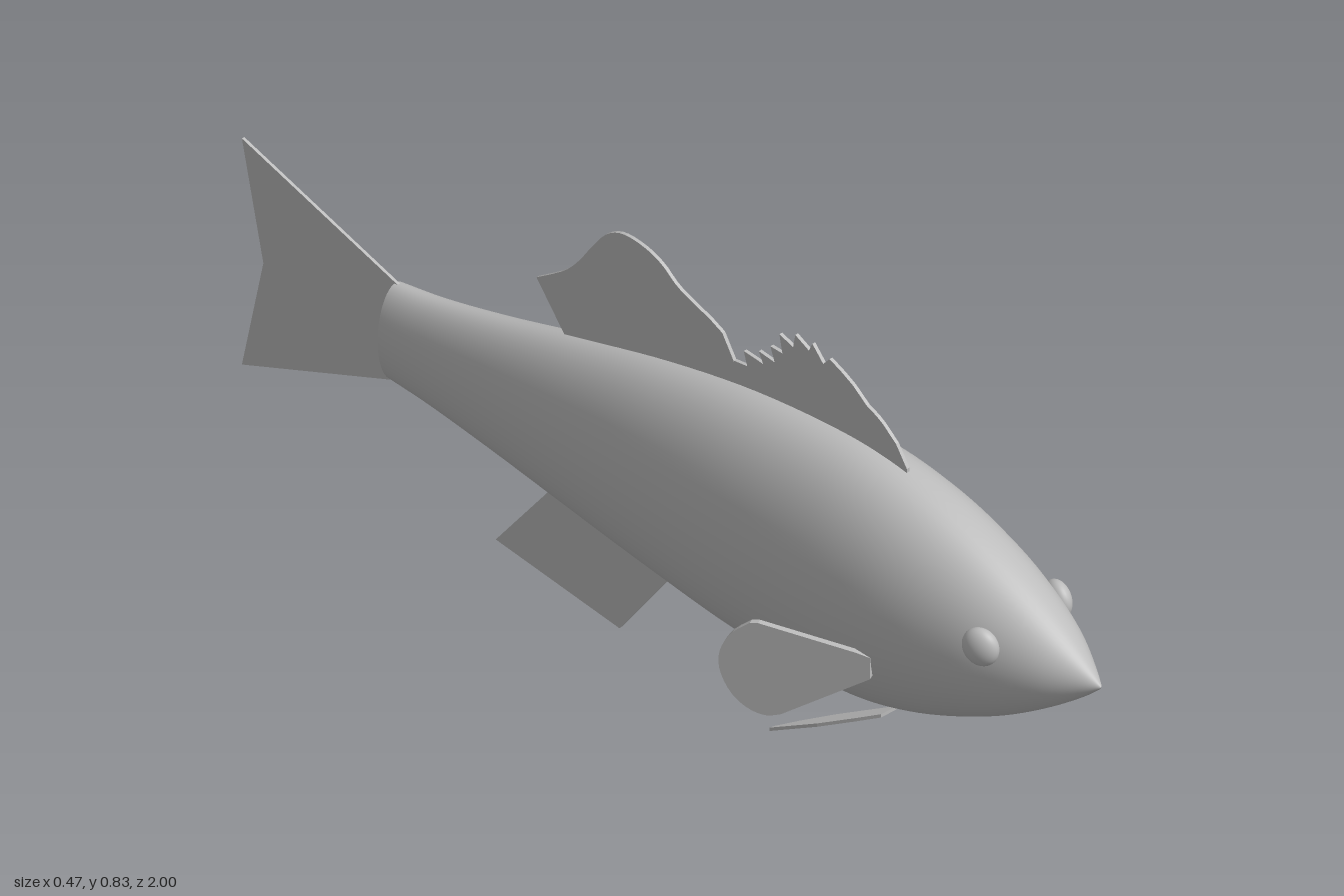
import * as THREE from 'three';

const skin = new THREE.MeshStandardMaterial({ color: 0xbcbcbc });
skin.name = 'plain grey';

function addMesh(group, geometry, name) {
  const mesh = new THREE.Mesh(geometry, skin);
  mesh.name = name;
  group.add(mesh);
  return mesh;
}

// Thin plate from a list of [x, y] points, centred on its thickness
function plate(points, thickness) {
  const shape = new THREE.Shape(points.map(([x, y]) => new THREE.Vector2(x, y)));
  return new THREE.ExtrudeGeometry(shape, { depth: thickness, bevelEnabled: false })
    .translate(0, 0, -thickness / 2);
}

// Plate standing in the middle plane, points given as [z, y]
const medianFin = (points, thickness) => plate(points, thickness).rotateY(-Math.PI / 2);

// Smooth run of points through a few control points
const smooth = (points, count) =>
  new THREE.SplineCurve(points.map(([x, y]) => new THREE.Vector2(x, y)))
    .getPoints(count).map(p => [p.x, p.y]);

// Body: elliptical sections [z, top, bottom, half width] blended along the length
function bodyGeometry() {
  const stations = [
    [1, 0.405, 0.401, 0.002], [0.97, 0.432, 0.374, 0.024], [0.9, 0.487, 0.322, 0.066],
    [0.8, 0.549, 0.26, 0.102], [0.7, 0.596, 0.212, 0.123], [0.6, 0.63, 0.175, 0.135],
    [0.5, 0.651, 0.151, 0.139], [0.4, 0.658, 0.143, 0.138], [0.2, 0.648, 0.152, 0.128],
    [0, 0.616, 0.179, 0.109], [-0.2, 0.569, 0.211, 0.086], [-0.4, 0.519, 0.245, 0.064],
    [-0.55, 0.488, 0.268, 0.051], [-0.645, 0.476, 0.278, 0.045],
  ];
  const heights = new THREE.CatmullRomCurve3(stations.map(s => new THREE.Vector3(s[0], s[1], s[2])));
  const widths = new THREE.CatmullRomCurve3(stations.map(s => new THREE.Vector3(s[0], s[3], 0)));
  const rings = 65, sides = 48, positions = [], index = [];
  for (let i = 0; i <= rings; i++) {
    const h = heights.getPoint(i / rings), w = widths.getPoint(i / rings).y;
    for (let j = 0; j < sides; j++) {
      const a = (j / sides) * Math.PI * 2;
      positions.push(Math.cos(a) * w, (h.y + h.z) / 2 + Math.sin(a) * (h.y - h.z) / 2, h.x);
    }
  }
  for (let i = 0; i < rings; i++) {
    for (let j = 0; j < sides; j++) {
      const a = i * sides + j, b = i * sides + (j + 1) % sides;
      index.push(a, a + sides, b, b, a + sides, b + sides);
    }
  }
  const geometry = new THREE.BufferGeometry();
  geometry.setAttribute('position', new THREE.Float32BufferAttribute(positions, 3));
  geometry.setIndex(index);
  geometry.computeVertexNormals();
  return geometry;
}

export function createModel() {
  const model = new THREE.Group();
  model.name = 'fish';

  addMesh(model, bodyGeometry(), 'body');

  // Flat end of the body where the tail fin joins
  const cap = addMesh(model, new THREE.CircleGeometry(1, 48), 'tailStump');
  cap.scale.set(0.045, 0.099, 1);
  cap.rotation.y = Math.PI;
  cap.position.set(0, 0.377, -0.645);

  // Spiny front dorsal fin
  addMesh(model, medianFin([
    [0.55, 0.62], [0.55, 0.65], [0.525, 0.69], [0.495, 0.717], [0.48, 0.727], [0.457, 0.738],
    [0.425, 0.765], [0.4, 0.78], [0.37, 0.795], [0.355, 0.778], [0.33, 0.808], [0.322, 0.79],
    [0.29, 0.808], [0.285, 0.78], [0.253, 0.792], [0.26, 0.755], [0.232, 0.757],
    [0.242, 0.728], [0.205, 0.734], [0.215, 0.712], [0.17, 0.718], [0.178, 0.69],
    [0.147, 0.687], [0.165, 0.62],
  ], 0.007), 'frontDorsalFin');

  // Soft rear dorsal fin with a rounded crest
  addMesh(model, medianFin([
    [0.18, 0.62], [0.18, 0.648], [0.147, 0.685], [0.12, 0.732],
    ...smooth([[0.09, 0.748], [0.02, 0.777], [-0.02, 0.808], [-0.06, 0.825], [-0.11, 0.83],
      [-0.148, 0.813], [-0.18, 0.775], [-0.215, 0.725], [-0.25, 0.688], [-0.313, 0.645]], 30),
    [-0.245, 0.552], [-0.2, 0.53],
  ], 0.007), 'rearDorsalFin');

  // Forked tail fin and slanted fin underneath
  addMesh(model, medianFin([
    [-0.635, 0.476], [-1, 0.612], [-0.95, 0.375], [-1, 0.14], [-0.635, 0.278],
  ], 0.006), 'tailFin');
  addMesh(model, medianFin([
    [0.01, 0.2], [0.01, 0.18], [-0.12, 0.003], [-0.408, 0.053], [-0.27, 0.23], [-0.2, 0.25],
  ], 0.007), 'analFin');

  // Paired parts: x sign +1 is the left side
  for (const side of [1, -1]) {
    const label = side > 0 ? 'left' : 'right';

    const eye = addMesh(model, new THREE.SphereGeometry(1, 28, 20), label + 'Eye');
    eye.scale.set(0.022, 0.037, 0.035);
    eye.position.set(side * 0.097, 0.448, 0.808);
    eye.rotation.y = -side * 0.25;

    // Upright side paddle, swept out and back
    const pectoral = addMesh(model, plate([
      [-0.005, 0.335], [-0.005, 0.291], [0.145, 0.188],
      ...smooth([[0.158, 0.179], [0.187, 0.17], [0.22, 0.178], [0.25, 0.203], [0.27, 0.245],
        [0.27, 0.285], [0.25, 0.325], [0.215, 0.356]], 24),
      [0.2, 0.359], [0.02, 0.34],
    ], 0.011), label + 'PectoralFin');
    const sweep = 1.181;
    pectoral.rotation.y = side > 0 ? sweep : Math.PI - sweep;
    pectoral.position.set(side * 0.128, 0, 0.575);

    // Belly blade: flat plate sheared so it slopes down to the rear
    const blade = plate([
      [0.018, 0.54], [0.052, 0.535], [0.068, 0.49], [0.09, 0.42],
      [0.107, 0.325], [0.1, 0.33], [0.078, 0.37], [0.052, 0.43],
    ].map(([x, z]) => [side * x, -z]), 0.007).rotateX(-Math.PI / 2);
    const p = blade.attributes.position;
    for (let i = 0; i < p.count; i++) {
      p.setY(i, p.getY(i) + 0.15 + (p.getZ(i) - 0.53) * 0.47);
    }
    blade.computeVertexNormals();
    addMesh(model, blade, label + 'PelvicFin');
  }
  return model;
}
